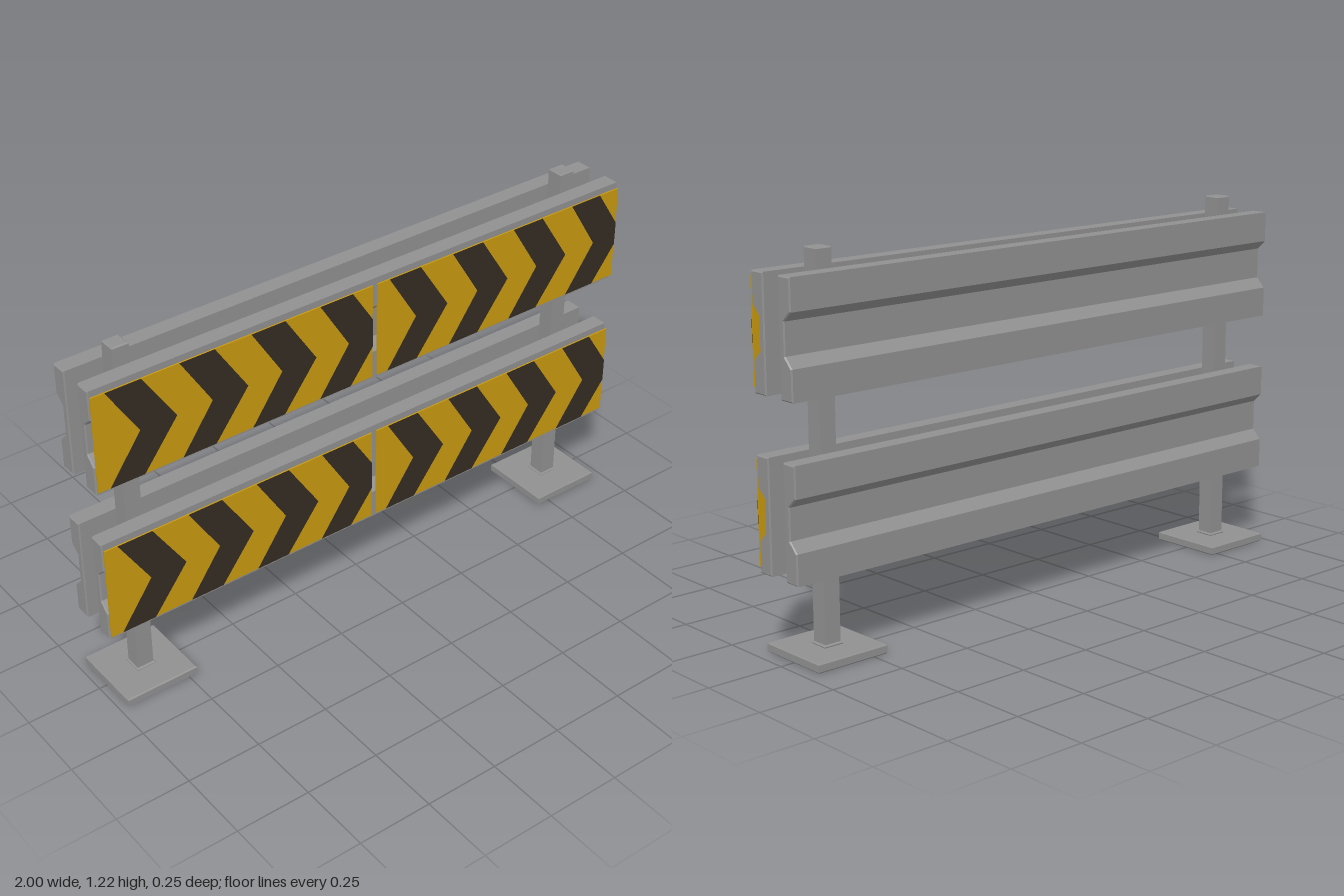
import * as THREE from 'three';

const steel = new THREE.MeshStandardMaterial({ color: 0x909090 });
steel.name = 'galvanised steel';
const yellow = new THREE.MeshStandardMaterial({ color: 0xc8990e });
yellow.name = 'sign yellow';
const dark = new THREE.MeshStandardMaterial({ color: 0x352c22 });
dark.name = 'chevron dark brown';

const BEVEL = 0.004;

function addMesh(parent, name, geometry, material) {
  const mesh = new THREE.Mesh(geometry, material);
  mesh.name = name;
  parent.add(mesh);
  return mesh;
}

// Extrusion with small chamfers that stays inside the outline and depth
function chamfered(points, depth) {
  const shape = new THREE.Shape(points.map(([x, y]) => new THREE.Vector2(x, y)));
  return new THREE.ExtrudeGeometry(shape, {
    depth: depth - 2 * BEVEL, bevelEnabled: true, bevelSegments: 1,
    bevelSize: BEVEL, bevelOffset: -BEVEL, bevelThickness: BEVEL,
  }).translate(0, 0, BEVEL);
}

// Chamfered square column standing on y0
function column(width, y0, y1) {
  const r = width / 2;
  return chamfered([[-r, -r], [r, -r], [r, r], [-r, r]], y1 - y0)
    .rotateX(-Math.PI / 2).translate(0, y0, 0);
}

// Beam with a trapezoid groove along its outer face; side = 1 front, -1 back
function beam(side, y) {
  const inner = 0.036, outer = 0.091, groove = 0.06;
  const profile = [
    [inner, 0], [outer, 0], [outer, 0.097], [groove, 0.129],
    [groove, 0.229], [outer, 0.258], [outer, 0.357], [inner, 0.357],
  ].map(([z, h]) => [-side * z, h + y]);
  return chamfered(profile, 1.995).rotateY(Math.PI / 2).translate(-0.998, 0, 0.001);
}

// Arrow pointing to +x, cut off at the panel's right edge
function chevron(x, width, height) {
  const mid = height * 0.48, tip = x + 0.274;
  const pts = [[x + 0.04, 0], [x + 0.155, 0]];
  if (tip > width) {
    const t = (width - x - 0.155) / (0.274 - 0.155);
    const u = (width - x - 0.165) / (0.274 - 0.165);
    pts.push([width, mid * t], [width, height + (mid - height) * u]);
  } else {
    pts.push([tip, mid]);
  }
  pts.push([x + 0.165, height], [x + 0.045, height], [x + 0.15, mid]);
  const shape = new THREE.Shape(pts.map(([a, b]) => new THREE.Vector2(a, b)));
  return new THREE.ExtrudeGeometry(shape, { depth: 0.0015, bevelEnabled: false });
}

// Thin yellow sign with four dark chevrons
function signPanel(x, y, width) {
  const height = 0.324, panel = new THREE.Group();
  panel.name = 'signPanel';
  addMesh(panel, 'signPlate',
    new THREE.BoxGeometry(width, height, 0.005).translate(width / 2, height / 2, 0), yellow);
  for (let i = 0; i < 4; i++) {
    addMesh(panel, 'chevron', chevron(i * 0.247, width, height), dark).position.z = 0.0025;
  }
  panel.position.set(x, y, 0.102);
  return panel;
}

export function createModel() {
  const model = new THREE.Group();
  model.name = 'roadBarrier';

  // Posts on square foot plates with a small weld collar
  for (const x of [-0.847, 0.83]) {
    const post = new THREE.Group();
    post.name = 'postAssembly';
    addMesh(post, 'footPlate', column(0.253, 0, 0.03), steel);
    addMesh(post, 'weldCollar', column(0.068, 0.028, 0.038), steel);
    addMesh(post, 'post', column(0.056, 0.02, 1.218), steel);
    post.position.set(x, 0, 0.001);
    model.add(post);
  }

  // Two levels of paired beams, signs on the front ones
  for (const y of [0.263, 0.8]) {
    addMesh(model, 'frontBeam', beam(1, y), steel);
    addMesh(model, 'backBeam', beam(-1, y), steel);
    model.add(signPanel(-0.997, y + 0.017, 0.981), signPanel(0.003, y + 0.017, 0.987));
  }
  return model;
}
